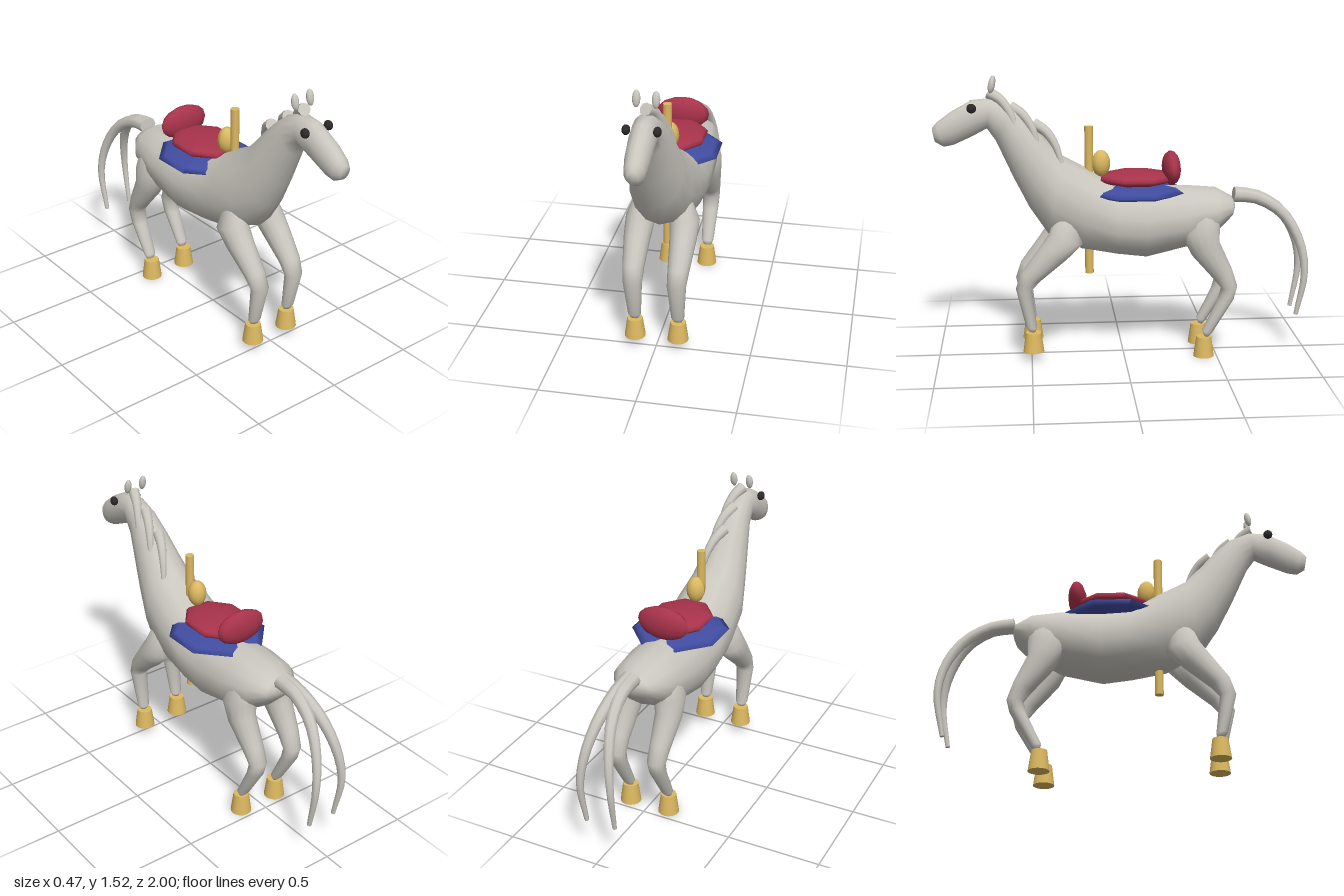
import * as THREE from 'three';

const mat = (name, color, side = THREE.FrontSide) => {
  const m = new THREE.MeshStandardMaterial({ color, side });
  m.name = name;
  return m;
};

// Skin over oval rings: [z, y of upper/front edge, z, y of lower/back edge, centre x, half width]
function loft(rings, sides = 14) {
  const pos = [], idx = [];
  const centre = (r) => [r[4], (r[1] + r[3]) / 2, (r[0] + r[2]) / 2];
  for (const r of rings) {
    const [cx, cy, cz] = centre(r);
    for (let j = 0; j < sides; j++) {
      const a = (j / sides) * Math.PI * 2, c = Math.cos(a);
      pos.push(cx + Math.sin(a) * r[5], cy + (c * (r[1] - r[3])) / 2, cz + (c * (r[0] - r[2])) / 2);
    }
  }
  const last = rings.length - 1, p = (i, j) => i * sides + (j % sides);
  const start = pos.length / 3;
  pos.push(...centre(rings[0]), ...centre(rings[last]));
  for (let j = 0; j < sides; j++) {
    for (let i = 0; i < last; i++) {
      idx.push(p(i, j), p(i + 1, j), p(i, j + 1), p(i, j + 1), p(i + 1, j), p(i + 1, j + 1));
    }
    idx.push(start, p(0, j), p(0, j + 1), start + 1, p(last, j + 1), p(last, j));
  }
  const g = new THREE.BufferGeometry();
  g.setAttribute('position', new THREE.Float32BufferAttribute(pos, 3));
  g.setIndex(idx);
  g.computeVertexNormals();
  return g;
}

// Tapered tube with end discs
function strand(points, r0, r1, steps = 14, sides = 8) {
  const curve = new THREE.CatmullRomCurve3(points.map((q) => new THREE.Vector3(...q)));
  const g = new THREE.TubeGeometry(curve, steps, 1, sides, false);
  const at = g.attributes.position, v = new THREE.Vector3();
  for (let i = 0; i < at.count; i++) {
    const t = Math.floor(i / (sides + 1)) / steps, c = curve.getPointAt(t);
    v.fromBufferAttribute(at, i).sub(c).multiplyScalar(r0 + (r1 - r0) * t).add(c);
    at.setXYZ(i, v.x, v.y, v.z);
  }
  const group = new THREE.Group();
  return { g, curve, group, r0, r1, sides };
}

export function createModel() {
  const coat = mat('coat grey', 0xc9c6be);
  const gold = mat('gold', 0xdcb860);
  const red = mat('saddle red', 0xa8334b);
  const blue = mat('blanket blue', 0x414da2);
  const black = mat('eye black', 0x2c2929);
  const model = new THREE.Group();
  model.name = 'carouselHorse';

  const add = (name, geo, m, x = 0, y = 0, z = 0) => {
    const mesh = new THREE.Mesh(geo, m);
    mesh.name = name;
    mesh.position.set(x, y, z);
    model.add(mesh);
    return mesh;
  };
  const ellipsoid = (name, m, c, r, ws = 16, hs = 10, turn = 0) => {
    const g = new THREE.SphereGeometry(1, ws, hs);
    g.rotateY(turn);
    g.scale(...r);
    g.computeVertexNormals();
    return add(name, g, m, ...c);
  };
  const hair = (name, points, r0, r1) => {
    const s = strand(points, r0, r1);
    add(name, s.g, coat);
    for (const [t, r, sign] of [[0, r0, -1], [1, r1, 1]]) {
      const cap = add(name + 'End', new THREE.CircleGeometry(r, s.sides), coat, ...s.curve.getPointAt(t).toArray());
      cap.lookAt(cap.position.clone().addScaledVector(s.curve.getTangentAt(t), sign));
    }
  };

  // Body, neck and head in one skin
  add('body', loft([
    [-0.598, 0.84, -0.598, 0.79, 0, 0.05],
    [-0.58, 0.865, -0.585, 0.755, 0, 0.10],
    [-0.50, 0.91, -0.50, 0.67, 0, 0.16],
    [-0.34, 0.925, -0.34, 0.59, 0, 0.185],
    [-0.12, 0.925, -0.12, 0.535, 0, 0.19],
    [0.04, 0.935, 0.04, 0.555, 0, 0.19],
    [0.20, 1.03, 0.22, 0.585, 0, 0.185],
    [0.33, 1.10, 0.40, 0.67, 0, 0.165],
    [0.42, 1.20, 0.50, 0.82, 0, 0.135],
    [0.49, 1.28, 0.58, 0.98, 0, 0.11],
    [0.58, 1.36, 0.67, 1.18, 0, 0.08],
    [0.69, 1.405, 0.715, 1.245, 0, 0.066],
    [0.79, 1.395, 0.79, 1.205, 0, 0.064],
    [0.90, 1.335, 0.89, 1.16, 0, 0.06],
    [0.975, 1.28, 0.94, 1.15, 0, 0.05],
    [1.0, 1.25, 0.985, 1.175, 0, 0.03],
  ]), coat);

  for (const s of [1, -1]) {
    const side = s > 0 ? 'Left' : 'Right';

    // Legs
    add('frontLeg' + side, loft([
      [0.36, 0.80, 0.24, 0.76, s * 0.10, 0.05],
      [0.40, 0.70, 0.22, 0.64, s * 0.115, 0.078],
      [0.455, 0.62, 0.31, 0.555, s * 0.12, 0.07],
      [0.55, 0.49, 0.45, 0.44, s * 0.118, 0.056],
      [0.58, 0.40, 0.495, 0.39, s * 0.115, 0.05],
      [0.53, 0.19, 0.47, 0.18, s * 0.115, 0.034],
      [0.515, 0.165, 0.48, 0.16, s * 0.115, 0.022],
    ]), coat);
    add('hindLeg' + side, loft([
      [-0.30, 0.80, -0.50, 0.82, s * 0.10, 0.06],
      [-0.30, 0.68, -0.51, 0.72, s * 0.115, 0.078],
      [-0.36, 0.565, -0.505, 0.64, s * 0.12, 0.07],
      [-0.48, 0.43, -0.575, 0.49, s * 0.118, 0.055],
      [-0.52, 0.38, -0.608, 0.39, s * 0.115, 0.05],
      [-0.50, 0.31, -0.59, 0.32, s * 0.115, 0.046],
      [-0.42, 0.145, -0.475, 0.13, s * 0.115, 0.034],
      [-0.43, 0.115, -0.455, 0.11, s * 0.115, 0.022],
    ]), coat);

    // Hooves
    add('frontHoof' + side, new THREE.CylinderGeometry(0.041, 0.056, 0.105, 16), gold, s * 0.115, 0.103, 0.49);
    add('hindHoof' + side, new THREE.CylinderGeometry(0.041, 0.056, 0.11, 16), gold, s * 0.115, 0.055, -0.43);

    // Eyes and ears
    ellipsoid('eye' + side, black, [s * 0.074, 1.36, 0.79], [0.02, 0.025, 0.025]);
    ellipsoid('ear' + side, coat, [s * 0.047, 1.475, 0.685], [0.02, 0.042, 0.018], 12, 8).rotation.x = -0.2;

    // Split tail
    hair('tail' + side, [
      [s * 0.012, 0.87, -0.598], [s * 0.014, 0.855, -0.72], [s * 0.035, 0.77, -0.86],
      [s * 0.065, 0.62, -0.95], [s * 0.085, 0.45, -0.98], [s * 0.08, 0.21, -0.94],
    ], 0.04, 0.012);
  }

  // Mane locks down the crest
  [[0.70, 1.43], [0.59, 1.355], [0.47, 1.265]].forEach(([z, y], i) => {
    hair('maneLock' + (i + 1), [
      [0, y, z], [0.025, y - 0.035, z - 0.06], [0.05, y - 0.105, z - 0.11], [0.068, y - 0.20, z - 0.14],
    ], 0.032, 0.014);
  });

  // Saddle
  const eighth = Math.PI / 8;
  ellipsoid('blanket', blue, [0, 0.9, -0.06], [0.254, 0.035, 0.276], 8, 6, eighth);
  ellipsoid('seat', red, [0, 0.97, -0.07], [0.17, 0.042, 0.21], 8, 8, eighth);
  ellipsoid('cantle', red, [0, 1.02, -0.258], [0.145, 0.09, 0.05], 12, 8);
  ellipsoid('pommel', gold, [0, 1.05, 0.118], [0.05, 0.072, 0.05], 12, 8);

  // Pole
  add('pole', new THREE.CylinderGeometry(0.023, 0.023, 0.8, 12), gold, 0, 0.85, 0.182);

  return model;
}
